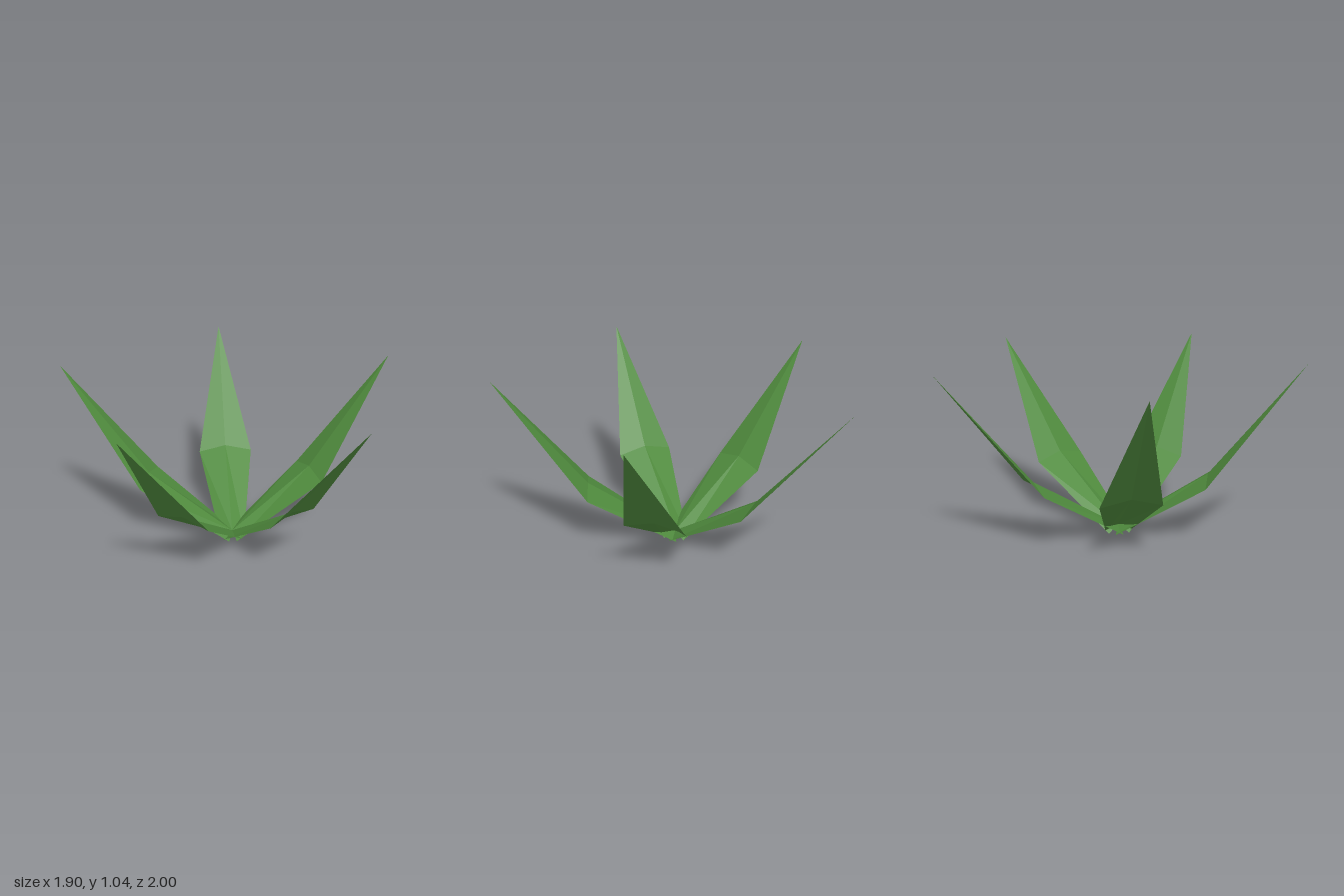
import * as THREE from 'three';

// One folded leaf along +x: a raised midrib, two side edges and a pointed tip
function leafGeometry() {
  const sections = [ // [distance out, half width, edge height, midrib height]
    [0, 0.075, 0, 0.04],
    [0.525, 0.17, 0.345, 0.385],
  ];
  const points = [];
  for (const [x, w, edgeY, ribY] of sections) {
    points.push(x, edgeY, w, x, ribY, 0, x, edgeY, -w);
  }
  points.push(1.05, 1.04, 0); // tip
  const faces = [];
  for (let i = 0; i < 2; i++) {
    faces.push(i, i + 3, i + 4, i, i + 4, i + 1); // lower blade
    faces.push(i + 3, 6, i + 4); // upper blade
  }
  const geometry = new THREE.BufferGeometry();
  geometry.setAttribute('position', new THREE.Float32BufferAttribute(points, 3));
  geometry.setIndex(faces);
  const flat = geometry.toNonIndexed();
  flat.computeVertexNormals();
  return flat;
}

export function createModel() {
  const model = new THREE.Group();
  model.name = 'plant';
  const leafGreen = new THREE.MeshStandardMaterial({
    color: 0x4f8a3d, side: THREE.DoubleSide, flatShading: true,
  });
  leafGreen.name = 'leaf green';

  // Five leaves fanned evenly around the root
  const geometry = leafGeometry();
  const count = 5;
  for (let i = 0; i < count; i++) {
    const leaf = new THREE.Mesh(geometry, leafGreen);
    leaf.name = 'leaf' + (i + 1);
    leaf.position.x = -0.1;
    leaf.rotation.y = (i / count) * Math.PI * 2;
    model.add(leaf);
  }
  return model;
}
